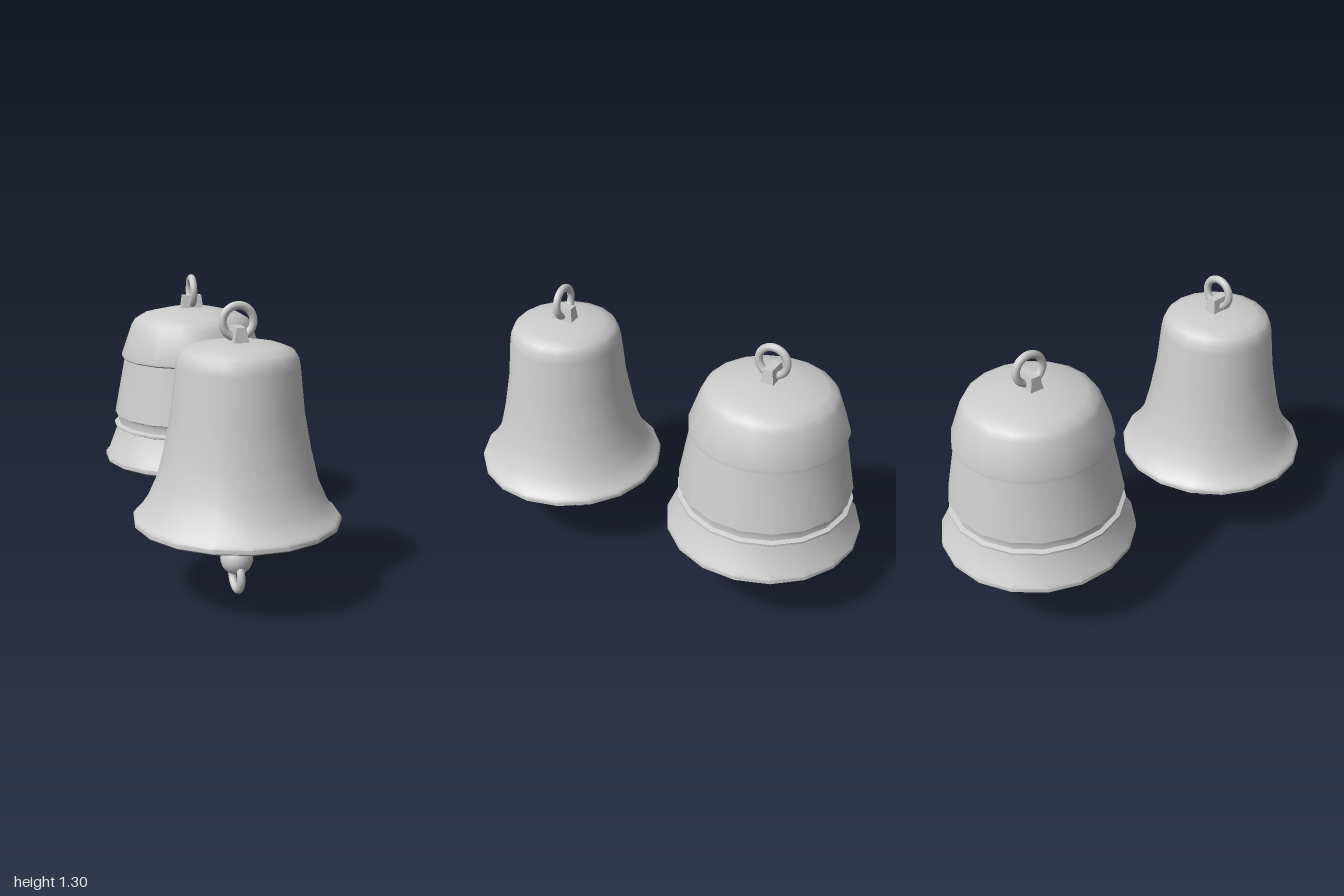
import * as THREE from 'three';
import { toCreasedNormals } from 'three/addons/utils/BufferGeometryUtils.js';

const SIDES = 18;
const material = new THREE.MeshStandardMaterial({ color: 0xcccccc, side: THREE.DoubleSide });

// Profiles as [radius, height]; outer runs rim to crown, inner runs crown to rim
const flared = {
  outer: [[0.446, 0.345], [0.455, 0.352], [0.455, 0.37], [0.446, 0.382], [0.43, 0.392], [0.388, 0.455],
    [0.35, 0.54], [0.318, 0.668], [0.286, 0.84], [0.266, 1.03], [0.258, 1.07], [0.24, 1.098],
    [0.19, 1.118], [0.09, 1.133], [0, 1.137]],
  inner: [[0, 1.115], [0.18, 1.1], [0.235, 1.06], [0.268, 0.84], [0.3, 0.668], [0.334, 0.54],
    [0.372, 0.455], [0.42, 0.385], [0.436, 0.345]],
};
const banded = {
  outer: [[0.448, 0.345], [0.457, 0.352], [0.457, 0.372], [0.438, 0.395], [0.392, 0.518], [0.409, 0.525],
    [0.409, 0.535], [0.388, 0.542], [0.385, 0.572], [0.39, 0.584], [0.404, 0.59], [0.35, 0.874],
    [0.363, 0.882], [0.363, 0.9], [0.31, 1.05], [0.292, 1.078], [0.25, 1.102], [0.12, 1.131], [0, 1.137]],
  inner: [[0, 1.115], [0.24, 1.08], [0.29, 1.04], [0.335, 0.88], [0.37, 0.56], [0.42, 0.4], [0.438, 0.345]],
};

function addPart(group, name, geometry, y = 0) {
  const mesh = new THREE.Mesh(geometry, material);
  mesh.name = name;
  mesh.position.y = y;
  group.add(mesh);
  return mesh;
}

// Tapered block that holds the hanging ring
function lugGeometry() {
  const g = new THREE.BoxGeometry(0.112, 0.08, 0.07);
  const p = g.attributes.position;
  for (let i = 0; i < p.count; i++) {
    if (p.getY(i) > 0) p.setXYZ(i, p.getX(i) * 0.85, p.getY(i), p.getZ(i) * 0.6);
  }
  g.computeVertexNormals();
  return g;
}

function createBell(name, { outer, inner }) {
  const bell = new THREE.Group();
  bell.name = name;

  // Hollow shell
  const profile = [...inner, ...outer].map(([r, y]) => new THREE.Vector2(r, y));
  const shell = new THREE.LatheGeometry(profile, SIDES);
  addPart(bell, 'shell', toCreasedNormals(shell, 0.7));

  // Hanger on the crown
  const ring = new THREE.TorusGeometry(0.068, 0.018, 10, 28);
  addPart(bell, 'lug', lugGeometry(), 1.158);
  addPart(bell, 'topRing', ring, 1.218).rotation.y = Math.PI / 2;

  // Clapper with its pull ring
  addPart(bell, 'clapperRod', new THREE.CylinderGeometry(0.018, 0.03, 0.93, 12), 0.665);
  addPart(bell, 'clapperBall', new THREE.SphereGeometry(0.073, 20, 14), 0.165);
  addPart(bell, 'pullRing', ring, 0.088);
  return bell;
}

export function createModel() {
  const model = new THREE.Group();
  model.name = 'bells';

  const front = createBell('flaredBell', flared);
  front.position.z = 0.543;
  front.rotation.y = THREE.MathUtils.degToRad(95);

  const back = createBell('bandedBell', banded);
  back.position.z = -0.543;

  model.add(front, back);
  return model;
}
